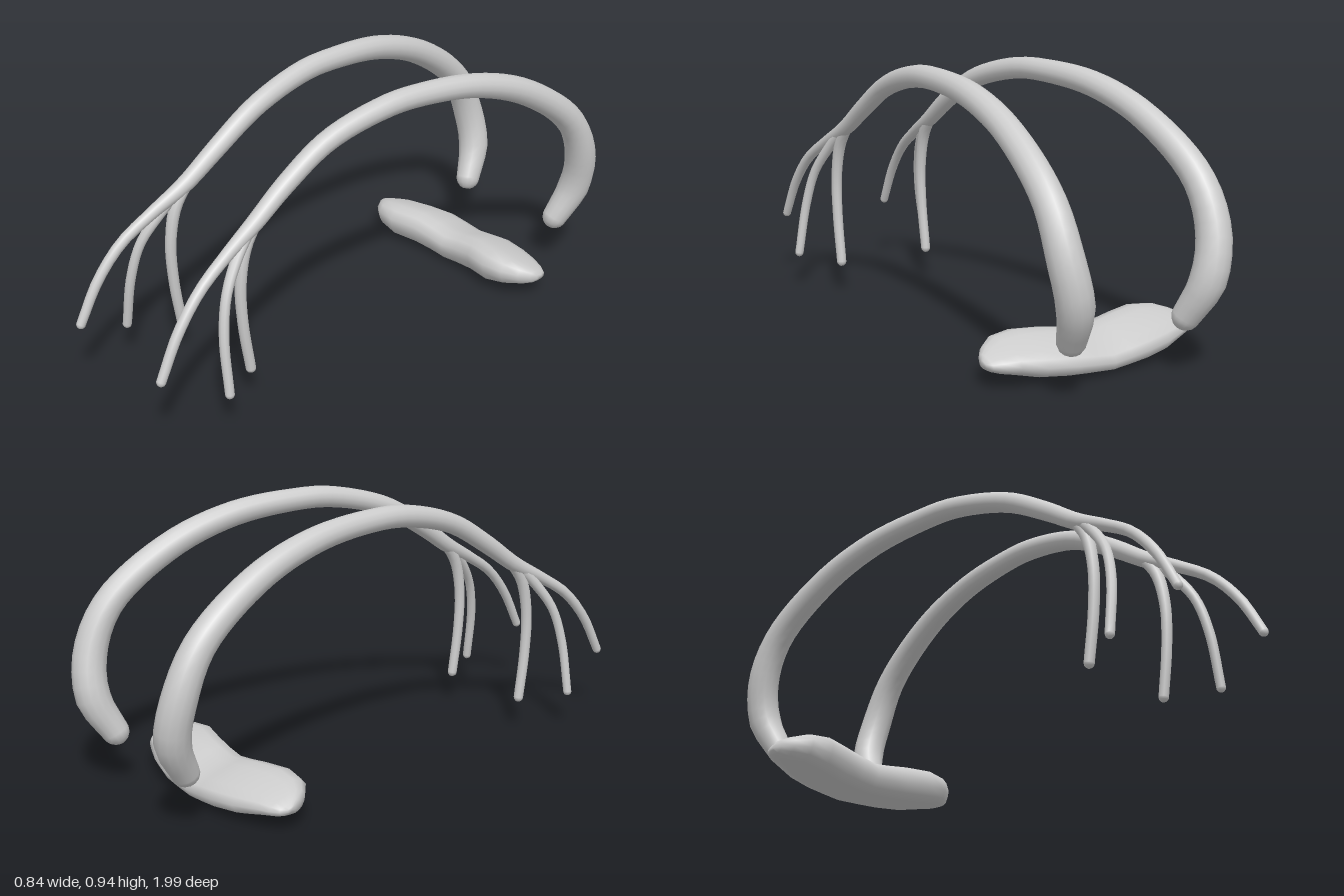
import * as THREE from 'three';

// Skin a list of equal-sized closed rings (counter-clockwise about the travel direction), capped at both ends
function loft(rings) {
  const n = rings[0].length, pos = [], idx = [];
  rings.forEach(r => r.forEach(p => pos.push(p.x, p.y, p.z)));
  for (let i = 0; i < rings.length - 1; i++) {
    for (let j = 0; j < n; j++) {
      const k = (j + 1) % n;
      const a = i * n + j, b = i * n + k, c = b + n, d = a + n;
      idx.push(a, b, c, a, c, d);
    }
  }
  [0, rings.length - 1].forEach((row, end) => {
    const mid = new THREE.Vector3();
    rings[row].forEach(p => mid.addScaledVector(p, 1 / n));
    const m = pos.length / 3;
    pos.push(mid.x, mid.y, mid.z);
    for (let j = 0; j < n; j++) {
      const a = row * n + j, b = row * n + (j + 1) % n;
      if (end) idx.push(a, b, m);
      else idx.push(b, a, m);
    }
  });
  const g = new THREE.BufferGeometry();
  g.setAttribute('position', new THREE.Float32BufferAttribute(pos, 3));
  g.setIndex(idx);
  g.computeVertexNormals();
  return g;
}

// Round-ended tube through [x, y, z, radius] points
function taperedTube(points, steps, sides = 14) {
  const curve = new THREE.CatmullRomCurve3(points.map(p => new THREE.Vector3(p[0], p[1], p[2])));
  const frames = curve.computeFrenetFrames(steps, false);
  const rings = [];
  const addRing = (i, scale, shift) => {
    const t = curve.getUtoTmapping(i / steps);
    const f = t * (points.length - 1);
    const k = Math.min(Math.floor(f), points.length - 2);
    const r = THREE.MathUtils.lerp(points[k][3], points[k + 1][3], f - k);
    const c = curve.getPoint(t).addScaledVector(frames.tangents[i], shift * r);
    rings.push(Array.from({ length: sides }, (_, j) => {
      const a = j / sides * Math.PI * 2;
      return c.clone()
        .addScaledVector(frames.normals[i], Math.cos(a) * r * scale)
        .addScaledVector(frames.binormals[i], Math.sin(a) * r * scale);
    }));
  };
  const cap = [0.2, 0.55, 0.95, 1.25];
  [...cap].reverse().forEach(a => addRing(0, Math.cos(a), -Math.sin(a)));
  for (let i = 0; i <= steps; i++) addRing(i, 1, 0);
  cap.forEach(a => addRing(steps, Math.cos(a), Math.sin(a)));
  return loft(rings);
}

// Arched stem, running from the curled rear tip to the foremost prong
const STEM = [
  [0.272, 0.195, -0.878, 0.047], [0.305, 0.32, -0.938, 0.06], [0.335, 0.47, -0.925, 0.058],
  [0.337, 0.63, -0.845, 0.052], [0.315, 0.795, -0.62, 0.048], [0.291, 0.88, -0.38, 0.044],
  [0.265, 0.906, -0.13, 0.04], [0.252, 0.9, 0.02, 0.039], [0.229, 0.84, 0.25, 0.036],
  [0.223, 0.735, 0.43, 0.033], [0.227, 0.645, 0.56, 0.029], [0.24, 0.575, 0.69, 0.021],
  [0.254, 0.5, 0.805, 0.019], [0.263, 0.39, 0.9, 0.018], [0.268, 0.25, 0.975, 0.016],
];
// Side prongs branching from the stem
const OUTER_PRONG = [
  [0.23, 0.63, 0.585, 0.02], [0.248, 0.56, 0.65, 0.019], [0.275, 0.46, 0.717, 0.017],
  [0.298, 0.33, 0.75, 0.017], [0.329, 0.138, 0.759, 0.016],
];
const INNER_PRONG = [
  [0.224, 0.67, 0.535, 0.022], [0.228, 0.58, 0.598, 0.022], [0.23, 0.45, 0.626, 0.02],
  [0.231, 0.3, 0.622, 0.019], [0.232, 0.122, 0.597, 0.018],
];

// Base outline: [x, front z, back z, bottom y, top y], centre to tip
const BASE = [
  [0, -0.53, -0.77, 0.003, 0.121], [0.07, -0.53, -0.77, 0.008, 0.132],
  [0.15, -0.523, -0.768, 0.014, 0.145], [0.25, -0.5, -0.745, 0.022, 0.148],
  [0.33, -0.512, -0.715, 0.04, 0.139], [0.38, -0.55, -0.692, 0.051, 0.122],
  [0.41, -0.588, -0.67, 0.061, 0.107], [0.42, -0.615, -0.645, 0.073, 0.092],
];
// Slanted cross-section: [front-to-back, bottom-to-top] fractions
const SECTION = [
  [0.6, 0.84], [0.42, 0.95], [0.25, 1], [0.09, 0.93], [0, 0.7], [0.02, 0.42], [0.09, 0.16],
  [0.25, 0.02], [0.5, 0], [0.78, 0.02], [0.94, 0.14], [1, 0.36], [0.94, 0.55], [0.8, 0.7],
];

function baseGeometry() {
  const rows = [...BASE.slice(1).reverse().map(([x, ...rest]) => [-x, ...rest]), ...BASE];
  return loft(rows.map(([x, zf, zb, y0, y1]) => SECTION.map(([u, v]) =>
    new THREE.Vector3(x, y0 + (y1 - y0) * v, zf + (zb - zf) * u))));
}

export function createModel() {
  const model = new THREE.Group();
  model.name = 'archedProngs';
  const grey = new THREE.MeshStandardMaterial({ color: 0xcccccc });
  grey.name = 'light grey';
  const add = (parent, name, geometry) => {
    const mesh = new THREE.Mesh(geometry, grey);
    mesh.name = name;
    parent.add(mesh);
  };

  add(model, 'base', baseGeometry());

  // The pair of arches mirrors about a plane slightly off the base centre
  const mirrorX = 0.04;
  for (const side of [1, -1]) {
    const arch = new THREE.Group();
    arch.name = side > 0 ? 'leftArch' : 'rightArch';
    const place = pts => pts.map(([x, ...rest]) => [mirrorX + side * (x - mirrorX), ...rest]);
    add(arch, 'stem', taperedTube(place(STEM), 56));
    add(arch, 'outerProng', taperedTube(place(OUTER_PRONG), 18, 10));
    add(arch, 'innerProng', taperedTube(place(INNER_PRONG), 18, 10));
    model.add(arch);
  }
  return model;
}
